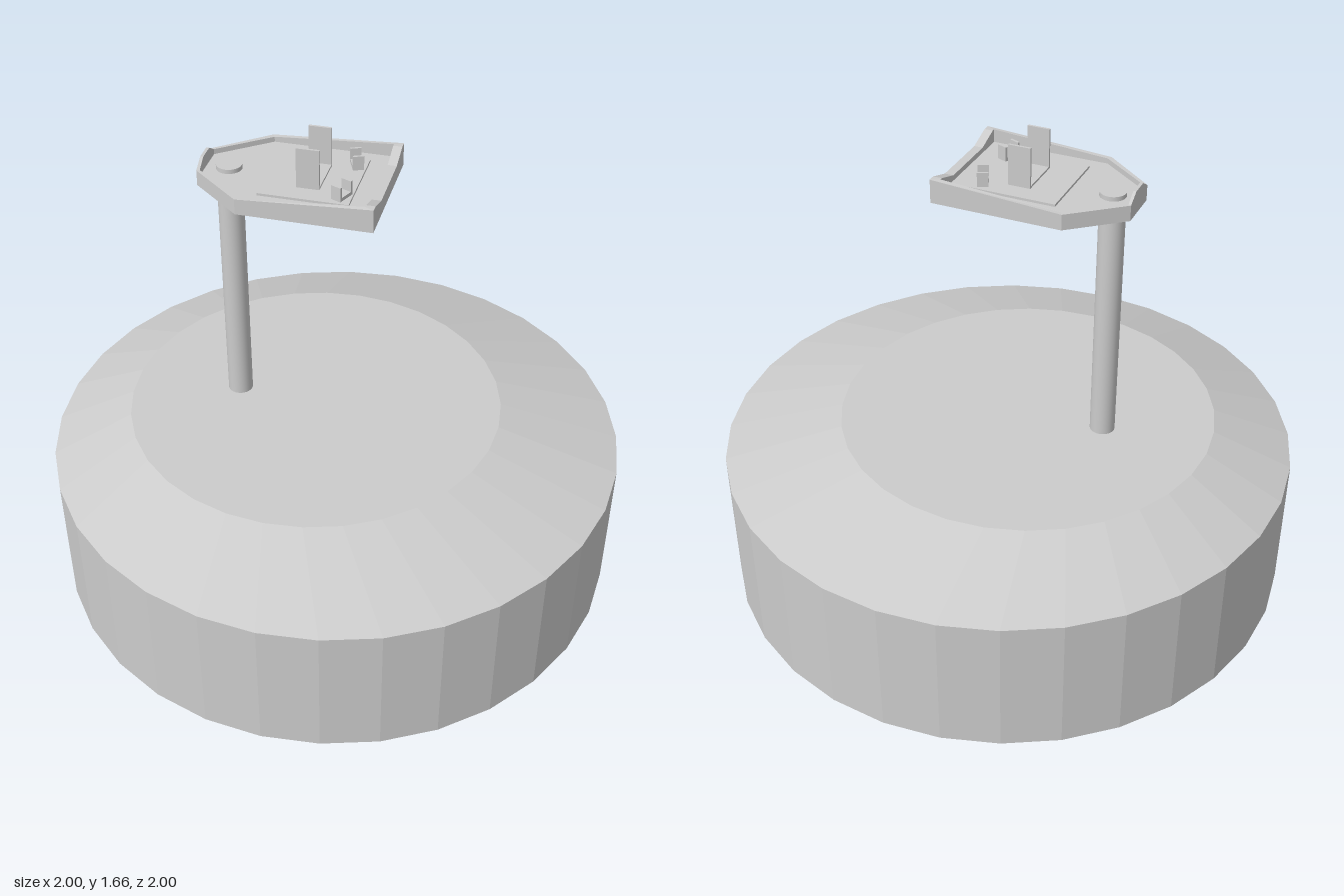
import * as THREE from 'three';

const flat = new THREE.MeshStandardMaterial({ color: 0xcccccc, flatShading: true });
const smooth = new THREE.MeshStandardMaterial({ color: 0xcccccc });

function add(parent, name, geometry, x = 0, y = 0, z = 0, material = flat) {
  const mesh = new THREE.Mesh(geometry, material);
  mesh.name = name;
  mesh.position.set(x, y, z);
  parent.add(mesh);
  return mesh;
}

// Hull: a rim section swept round the plan outline, closed by deck and bottom
function hullGeometry(bottom, deck) {
  // Per station, bow to stern on one side: outer x, z, inner x, z, rim height
  const half = [
    [-0.44, 0.03, -0.43, 0.03, 1.56],
    [-0.44, 0.075, -0.43, 0.07, 1.533],
    [-0.27, 0.215, -0.262, 0.2, 1.533],
    [0.17, 0.215, 0.14, 0.2, 1.56],
    [0.17, 0.19, 0.14, 0.19, 1.56],
    [0.17, 0.11, 0.14, 0.11, 1.533],
  ];
  const mirrored = half.map(([ox, oz, ix, iz, h]) => [ox, -oz, ix, -iz, h]).reverse();
  const sections = [...half, ...mirrored].map(([ox, oz, ix, iz, h]) => [
    [ox, bottom, oz], [ox, h, oz], [ix, h, iz], [ix, deck, iz],
  ]);
  const pos = [];
  sections.forEach((s, i) => {
    const n = sections[(i + 1) % sections.length];
    for (let k = 0; k < 3; k++) {
      pos.push(...s[k], ...n[k], ...n[k + 1], ...s[k], ...n[k + 1], ...s[k + 1]);
    }
    pos.push(-0.1, deck, 0, ...s[3], ...n[3]);
    pos.push(-0.1, bottom, 0, ...n[0], ...s[0]);
  });
  const g = new THREE.BufferGeometry();
  g.setAttribute('position', new THREE.Float32BufferAttribute(pos, 3));
  g.computeVertexNormals();
  return g;
}

export function createModel() {
  const model = new THREE.Group();
  model.name = 'boatOnStand';

  // Round base with an off-centre sloped top
  add(model, 'base', new THREE.CylinderGeometry(1, 1, 0.5, 32), 0, 0.25, 0);
  const slope = new THREE.CylinderGeometry(0.655, 1, 0.12, 32);
  const p = slope.attributes.position;
  for (let i = 0; i < p.count; i++) {
    if (p.getY(i) > 0) p.setX(i, p.getX(i) - 0.075);
  }
  add(model, 'baseTop', slope, 0, 0.56, 0);

  // Post that passes through the bow
  add(model, 'post', new THREE.CylinderGeometry(0.043, 0.043, 0.91, 32), -0.355, 1.075, 0, smooth);

  // Boat
  const boat = new THREE.Group();
  boat.name = 'boat';
  model.add(boat);
  add(boat, 'hull', hullGeometry(1.48, 1.515));
  add(boat, 'deckPanel', new THREE.BoxGeometry(0.295, 0.012, 0.29), -0.0725, 1.517, 0);
  add(boat, 'consoleBase', new THREE.BoxGeometry(0.075, 0.008, 0.16), -0.0725, 1.526, 0);

  // Upright plates and angled seats, one pair per side
  for (const side of [1, -1]) {
    add(boat, 'uprightPlate', new THREE.BoxGeometry(0.075, 0.138, 0.008), -0.0725, 1.591, side * 0.076);

    const seat = new THREE.Group();
    seat.name = 'seat';
    seat.position.set(0.042, 1.523, side * 0.1);
    seat.rotation.y = -side * 0.4;
    boat.add(seat);
    add(seat, 'seatBase', new THREE.BoxGeometry(0.036, 0.012, 0.062), 0, 0.006, 0);
    for (const end of [1, -1]) {
      add(seat, 'seatEnd', new THREE.BoxGeometry(0.036, 0.049, 0.008), 0, 0.0245, end * 0.027);
    }
  }
  return model;
}
